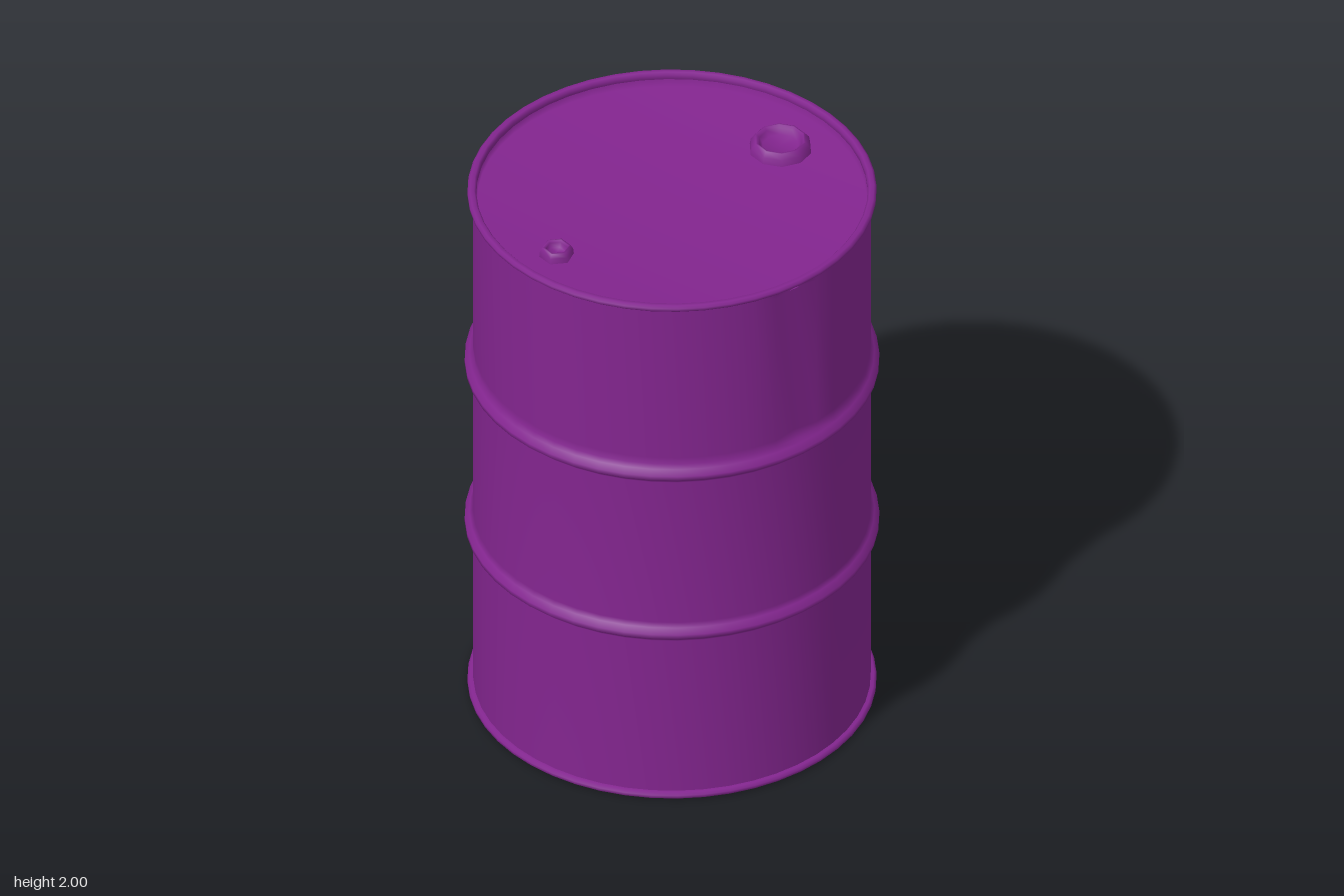
import * as THREE from 'three';
import { mergeVertices } from 'three/addons/utils/BufferGeometryUtils.js';

const SEGMENTS = 48;
const RADIUS = 0.655;

// Welded, smooth surface of revolution; optional rule moves its vertices
function turned(points, segments, rule) {
  const profile = points.map(([r, y]) => new THREE.Vector2(r, y));
  let geo = new THREE.LatheGeometry(profile, segments, Math.PI);
  geo.deleteAttribute('uv');
  geo.deleteAttribute('normal');
  geo = mergeVertices(geo, 1e-4);
  if (rule) {
    const p = geo.attributes.position;
    const v = new THREE.Vector3();
    for (let i = 0; i < p.count; i++) {
      rule(v.fromBufferAttribute(p, i));
      p.setXYZ(i, v.x, v.y, v.z);
    }
  }
  geo.computeVertexNormals();
  return geo;
}

// Profile of a rolling hoop, bottom to top
const hoop = (y) => [
  [RADIUS, y - 0.035], [0.667, y - 0.02], [0.683, y - 0.008],
  [0.683, y + 0.008], [0.667, y + 0.026], [RADIUS, y + 0.04],
];

export function createModel() {
  const group = new THREE.Group();
  const paint = new THREE.MeshStandardMaterial({ color: 0x83258f });
  paint.name = 'purplePaint';

  const add = (name, geometry, x = 0, y = 0) => {
    const mesh = new THREE.Mesh(geometry, paint);
    mesh.name = name;
    mesh.position.set(x, y, 0);
    group.add(mesh);
  };

  // Wall with two hoops and a shallow groove pressed into the upper front
  const wall = [
    [RADIUS, 0.02], [RADIUS, 0.05], ...hoop(0.667), ...hoop(1.31),
    [RADIUS, 1.375], [RADIUS, 1.95], [RADIUS, 1.98],
  ];
  add('wall', turned(wall, SEGMENTS, (v) => {
    if (Math.abs(v.x) < 0.02 && v.z > 0 && v.y > 1.36 && v.y < 1.96) v.z -= 0.018;
  }));

  // Rolled rims at both ends
  const rim = [
    [0.65, -0.012], [0.666, -0.012], [0.674, -0.005], [0.674, 0.005],
    [0.666, 0.012], [0.652, 0.012], [0.645, 0.004], [0.645, -0.012], [0.65, -0.012],
  ];
  add('topRim', turned(rim, SEGMENTS), 0, 1.988);
  add('bottomRim', turned(rim.map(([r, y]) => [r, -y]).reverse(), SEGMENTS), 0, 0.012);

  // Recessed ends, softly blended into their side walls
  add('lid', turned([[0.648, 1.99], [0.642, 1.95], [0, 1.95]], SEGMENTS));
  add('base', turned([[0, 0.05], [0.642, 0.05], [0.648, 0.01]], SEGMENTS));

  // Screw plugs: a raised ring with a sunken socket
  const plug = (r, inner, h) => [
    [r, 0], [r * 0.96, h * 0.6], [r * 0.82, h], [inner * 1.12, h],
    [inner, h * 0.8], [inner * 0.85, h * 0.35], [0, h * 0.35],
  ];
  add('largePlug', turned(plug(0.105, 0.072, 0.042), 10), 0.46, 1.948);
  add('smallPlug', turned(plug(0.058, 0.036, 0.036), 6), -0.49, 1.948);

  return group;
}
